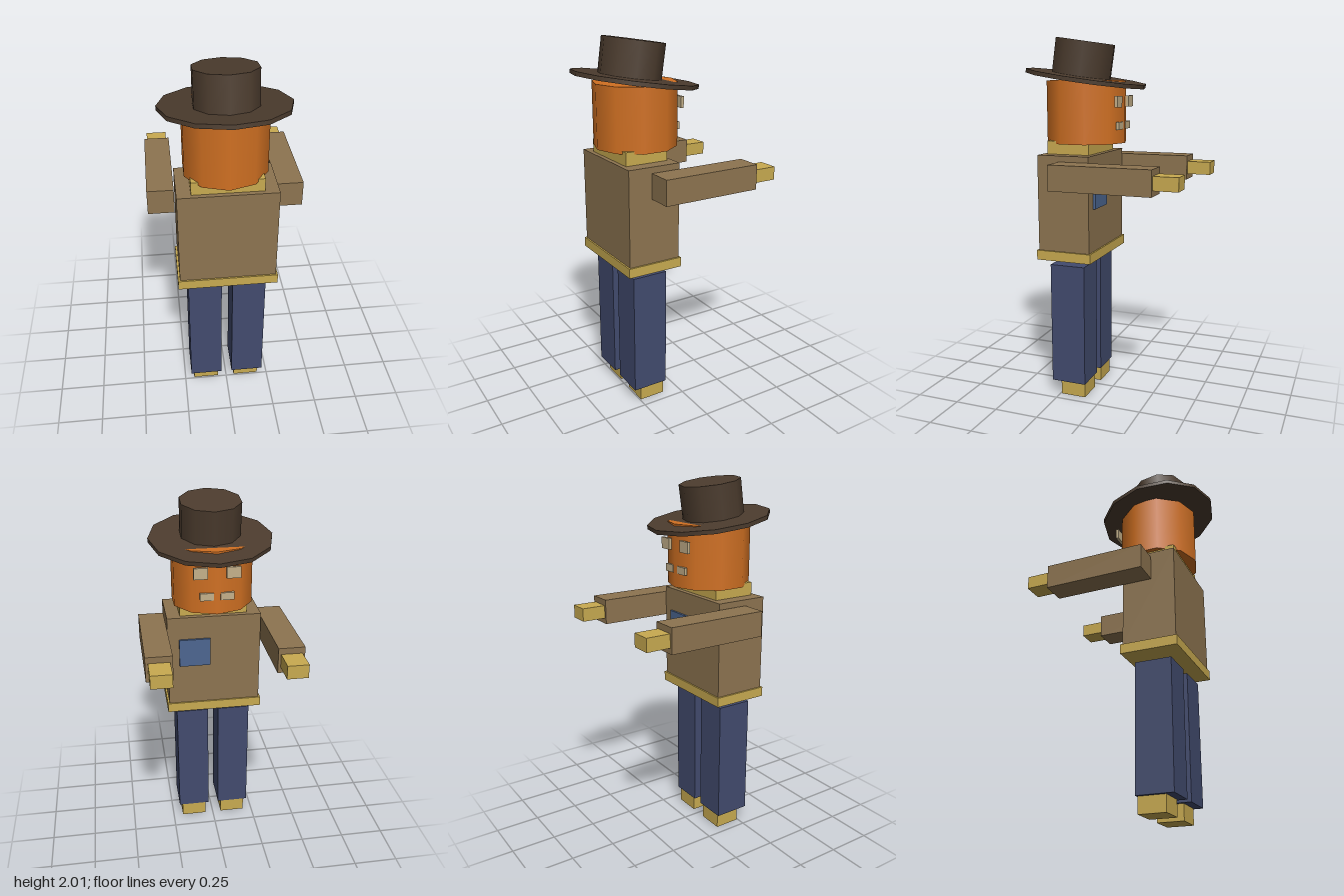
import * as THREE from 'three';

const paint = (name, color) => {
  const m = new THREE.MeshStandardMaterial({ color });
  m.name = name;
  return m;
};

export function createModel() {
  const straw = paint('straw', 0xc8aa50);
  const shirt = paint('shirt brown', 0x8d7450);
  const denim = paint('trouser blue', 0x424b6e);
  const pumpkin = paint('pumpkin orange', 0xd07022);
  const felt = paint('hat brown', 0x4c3c2e);
  const cloth = paint('patch blue', 0x4c6690);
  const cream = paint('face cream', 0xc4b08a);

  const model = new THREE.Group();
  model.name = 'scarecrow';

  const add = (name, geometry, material, x, y, z, parent = model) => {
    const mesh = new THREE.Mesh(geometry, material);
    mesh.name = name;
    mesh.position.set(x, y, z);
    parent.add(mesh);
    return mesh;
  };
  // Box given by its centre x, width, and y and z ranges
  const box = (name, material, x, w, y0, y1, z0, z1) =>
    add(name, new THREE.BoxGeometry(w, y1 - y0, z1 - z0), material,
      x, (y0 + y1) / 2, (z0 + z1) / 2);

  const cx = -0.002;

  // Trunk
  box('torso', shirt, cx, 0.516, 0.863, 1.384, 0.04, 0.335);
  box('strawHem', straw, cx, 0.536, 0.81, 0.863, 0.031, 0.344);
  box('strawCollar', straw, cx, 0.37, 1.384, 1.455, 0.07, 0.31);
  box('shirtPatch', cloth, 0.107, 0.172, 1.098, 1.257, 0.027, 0.042);

  // Limbs and face, mirrored left and right
  for (const [side, s] of [['left', 1], ['right', -1]]) {
    box(side + 'Leg', denim, cx + s * 0.1215, 0.183, 0.086, 0.772, 0.09, 0.29);
    box(side + 'Foot', straw, cx + s * 0.1215, 0.146, 0, 0.086, 0.097, 0.243);
    box(side + 'Arm', shirt, cx + s * 0.334, 0.138, 1.217, 1.353, -0.351, 0.206);
    box(side + 'Hand', straw, cx + s * 0.334, 0.11, 1.248, 1.32, -0.483, -0.351);
    box(side + 'Eye', cream, cx + s * 0.086, 0.074, 1.634, 1.694, -0.071, -0.055);
    box(side + 'Mouth', cream, cx + s * 0.054, 0.072, 1.516, 1.556, -0.067, -0.051);
  }

  // Ten-sided pumpkin head
  add('head', new THREE.CylinderGeometry(0.223, 0.223, 0.335, 10), pumpkin, cx, 1.6075, 0.153);

  // Tilted hat
  const hat = new THREE.Group();
  hat.name = 'hat';
  hat.position.set(0, 1.786, 0.153);
  hat.rotation.x = -0.145;
  model.add(hat);
  add('hatBrim', new THREE.CylinderGeometry(0.333, 0.333, 0.022, 12), felt, 0, 0, 0, hat);
  add('hatCrown', new THREE.CylinderGeometry(0.166, 0.166, 0.19, 10), felt, 0, 0.1, 0.032, hat);

  return model;
}
